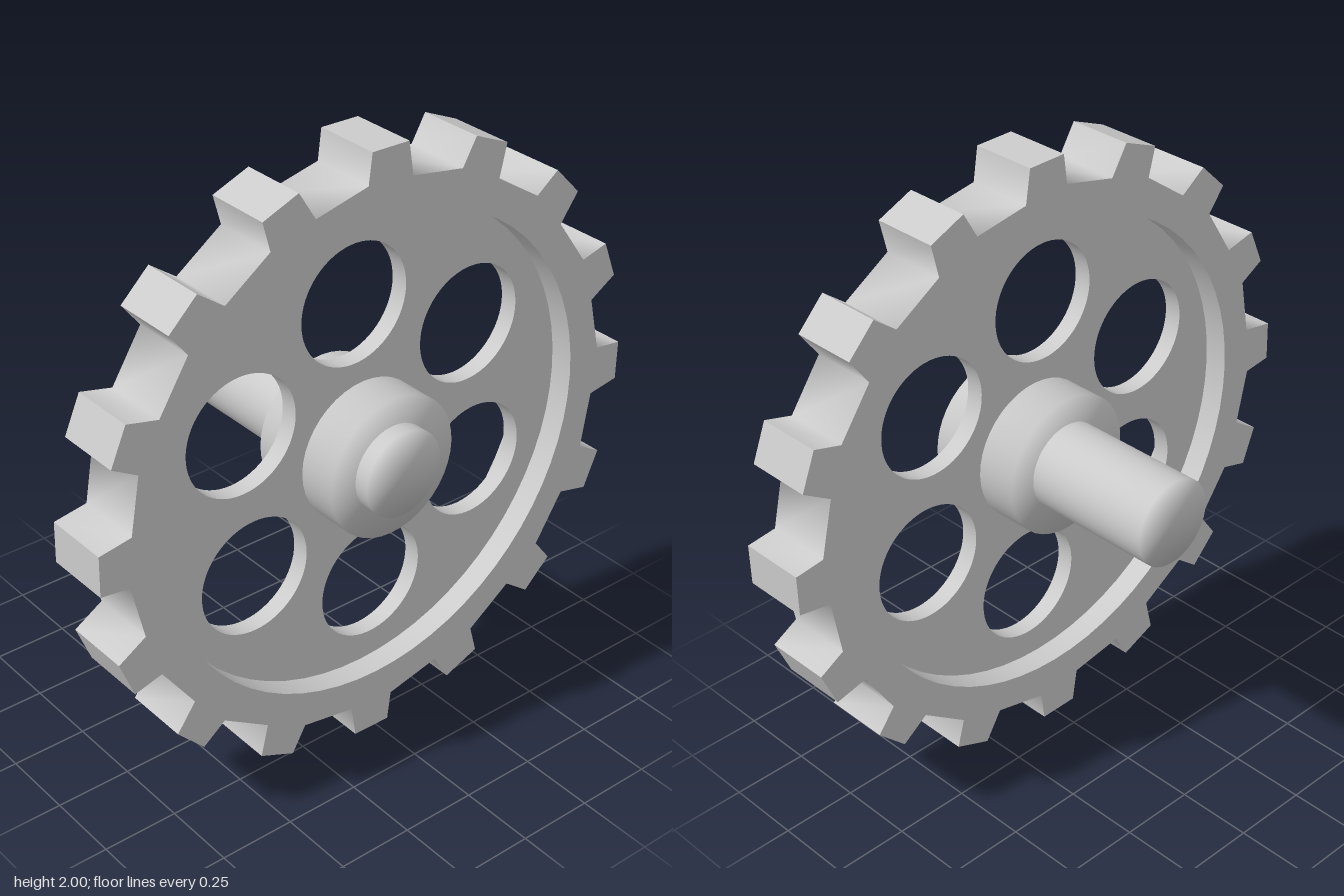
import * as THREE from 'three';
import { mergeVertices, toCreasedNormals } from 'three/addons/utils/BufferGeometryUtils.js';

const TEETH = 16;
const deg = THREE.MathUtils.degToRad;
const material = new THREE.MeshStandardMaterial({ color: 0xcccccc });

function circle(Type, x, y, r) {
  return new Type().absarc(x, y, r, 0, Math.PI * 2, false);
}

// Plate cut from a shape, between two depths; shallow corners are smoothed
function plate(name, shape, z0, z1) {
  const geo = new THREE.ExtrudeGeometry(shape, { depth: z1 - z0, bevelEnabled: false, curveSegments: 32 });
  geo.translate(0, 0, z0);
  const mesh = new THREE.Mesh(toCreasedNormals(geo, deg(75)), material);
  mesh.name = name;
  return mesh;
}

// Cylinder along z with normals blended over its end edges
function softCylinder(name, r, z0, z1) {
  const geo = new THREE.CylinderGeometry(r, r, z1 - z0, 40);
  geo.rotateX(Math.PI / 2);
  geo.translate(0, 0, (z0 + z1) / 2);
  geo.deleteAttribute('normal');
  geo.deleteAttribute('uv');
  const merged = mergeVertices(geo);
  merged.computeVertexNormals();
  const mesh = new THREE.Mesh(merged, material);
  mesh.name = name;
  return mesh;
}

export function createModel() {
  const wheel = new THREE.Group();
  wheel.name = 'cogwheel';

  // Toothed rim: each tooth is root, tip, tip, root
  const points = [];
  for (let i = 0; i < TEETH; i++) {
    const mid = -1 + (i * 360) / TEETH;
    for (const [offset, r] of [[-5.5, 0.895], [-3.8, 1.002], [3.8, 1.002], [4.9, 0.905]]) {
      const a = deg(mid + offset);
      points.push(new THREE.Vector2(r * Math.cos(a), r * Math.sin(a)));
    }
  }
  const rim = new THREE.Shape(points);
  rim.holes.push(circle(THREE.Path, 0, 0, 0.787));
  wheel.add(plate('toothedRim', rim, 0.09, 0.31));

  // Recessed web with six round openings
  const web = circle(THREE.Shape, 0, 0, 0.795);
  for (let i = 0; i < 6; i++) {
    const a = deg(34.5 + i * 60);
    web.holes.push(circle(THREE.Path, 0.5 * Math.cos(a), 0.5 * Math.sin(a), 0.195));
  }
  wheel.add(plate('web', web, 0.17, 0.23));

  // Hub and axle
  wheel.add(softCylinder('hub', 0.233, 0.03, 0.365));
  wheel.add(softCylinder('axle', 0.143, -0.415, 0.415));

  wheel.position.y = 1;
  const model = new THREE.Group();
  model.add(wheel);
  return model;
}
